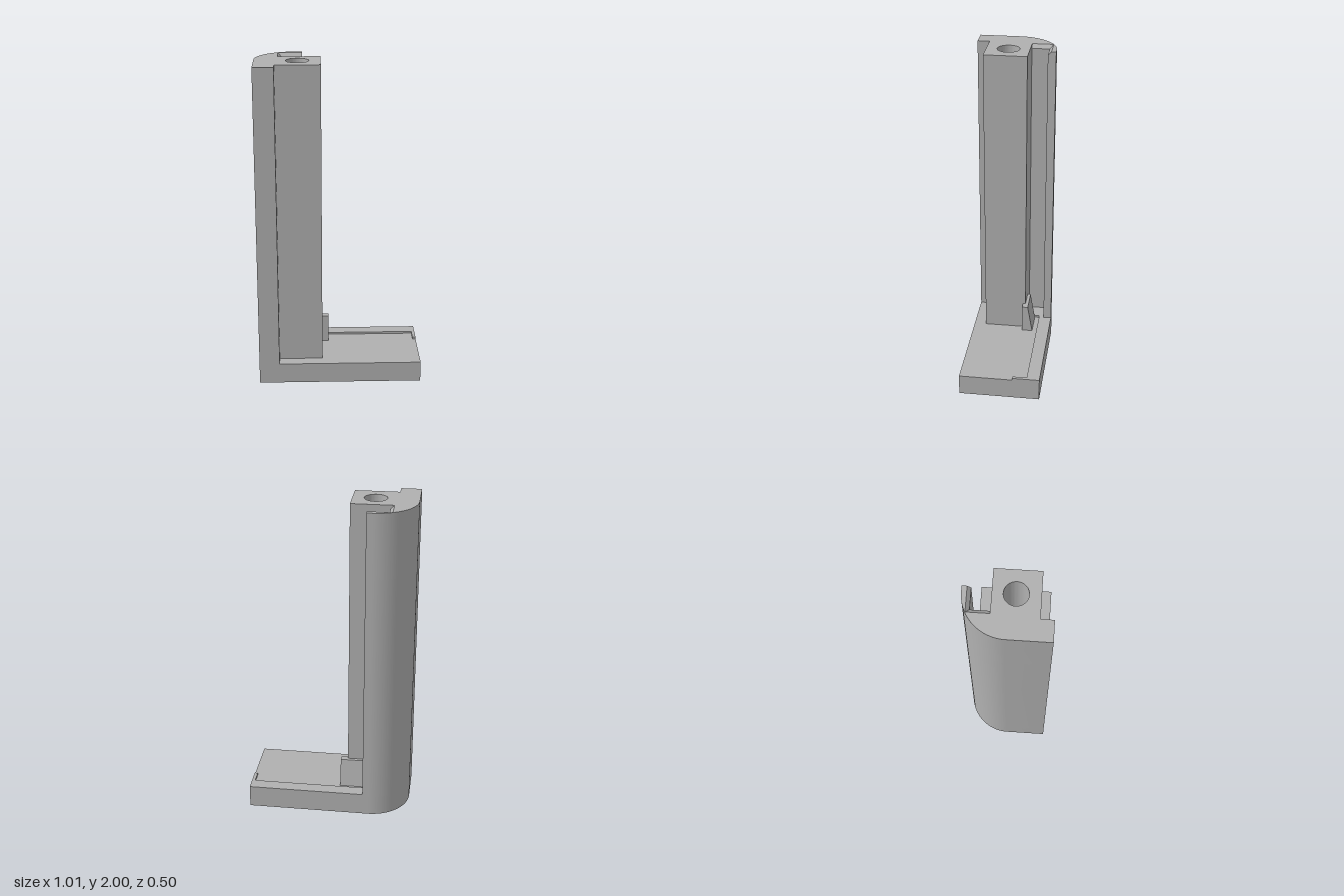
import * as THREE from 'three';
import { toCreasedNormals } from 'three/addons/utils/BufferGeometryUtils.js';

const BACK = -0.25, FRONT = 0.25, LEFT = -0.505, RIGHT = 0.505, R = 0.25;

// Plan outline from [x, z] points; optionally closes with the rounded back corner
function plan(points, rounded) {
  const s = new THREE.Shape();
  points.forEach(([x, z], i) => (i ? s.lineTo(x, -z) : s.moveTo(x, -z)));
  if (rounded) s.absarc(LEFT + R, -(BACK + R), R, Math.PI / 2, Math.PI, false);
  s.closePath();
  return s;
}

// Plan outline raised from y0 to y1
function raise(shape, y0, y1) {
  const g = new THREE.ExtrudeGeometry(shape, { depth: y1 - y0, bevelEnabled: false, curveSegments: 32 });
  g.rotateX(-Math.PI / 2).translate(0, y0, 0);
  return toCreasedNormals(g, 0.5);
}

// Side profile of [x, y] points extruded along z
function alongZ(points, z0, z1) {
  const s = new THREE.Shape(points.map(([x, y]) => new THREE.Vector2(x, y)));
  return new THREE.ExtrudeGeometry(s, { depth: z1 - z0, bevelEnabled: false }).translate(0, 0, z0);
}

// Side profile of [z, y] points extruded along x
function alongX(points, x0, x1) {
  return alongZ(points.map(([z, y]) => [-z, y]), x0, x1).rotateY(Math.PI / 2);
}

// Column section: front flange, square core, and a slot of the given limits at the back
function columnPlan(slotX, slotZ, hole) {
  const s = plan([
    [LEFT, FRONT], [-0.38, FRONT], [-0.38, 0.175], [-0.11, 0.175], [-0.11, -0.09],
    [slotX, -0.09], [slotX, slotZ], [-0.22, slotZ], [-0.22, BACK],
  ], true);
  if (hole) s.holes.push(new THREE.Path().absarc(-0.248, -0.04, 0.069, 0, Math.PI * 2, true));
  return s;
}

export function createModel() {
  const group = new THREE.Group();
  const grey = new THREE.MeshStandardMaterial({ color: 0xb0b0b0 });
  grey.name = 'plain grey';
  const add = (name, geometry) => {
    const mesh = new THREE.Mesh(geometry, grey);
    mesh.name = name;
    group.add(mesh);
  };

  const baseTop = 0.128, lipTop = 0.141, chamfer = 1.977, top = 2, holeFloor = 1.6;
  const slot = [-0.344, -0.2], wide = [-0.367, -0.221];

  // Base plate and the thin raised lip along its back
  add('basePlate', raise(plan([[LEFT, FRONT], [RIGHT, FRONT], [RIGHT, BACK]], true), 0, baseTop));
  add('baseLip', raise(plan([
    [-0.36, -0.08], [-0.235, -0.08], [-0.235, -0.17], [0.485, -0.17], [0.485, -0.082], [RIGHT, -0.082],
    [RIGHT, BACK], [-0.22, BACK], [-0.23, -0.21], [-0.36, -0.21],
  ]), baseTop, lipTop));

  // Upright column, with a blind hole in its upper end
  add('columnLower', raise(columnPlan(...slot, false), baseTop, holeFloor));
  add('columnUpper', raise(columnPlan(...slot, true), holeFloor, chamfer));
  add('columnCap', raise(columnPlan(...wide, true), chamfer, top));

  // Sloping lead-in at the top of the slot
  add('slotChamferSide', alongZ([[wide[0], chamfer], [slot[0], chamfer], [wide[0], top]], wide[1], -0.09));
  add('slotChamferBack', alongX([[slot[1], chamfer], [wide[1], chamfer], [wide[1], top]], wide[0], -0.22));

  // Tapered tab beside the foot of the column
  add('taperedTab', alongX([[-0.073, baseTop], [-0.14, baseTop], [-0.11, 0.305], [-0.073, 0.305]], -0.235, -0.066));

  return group;
}
